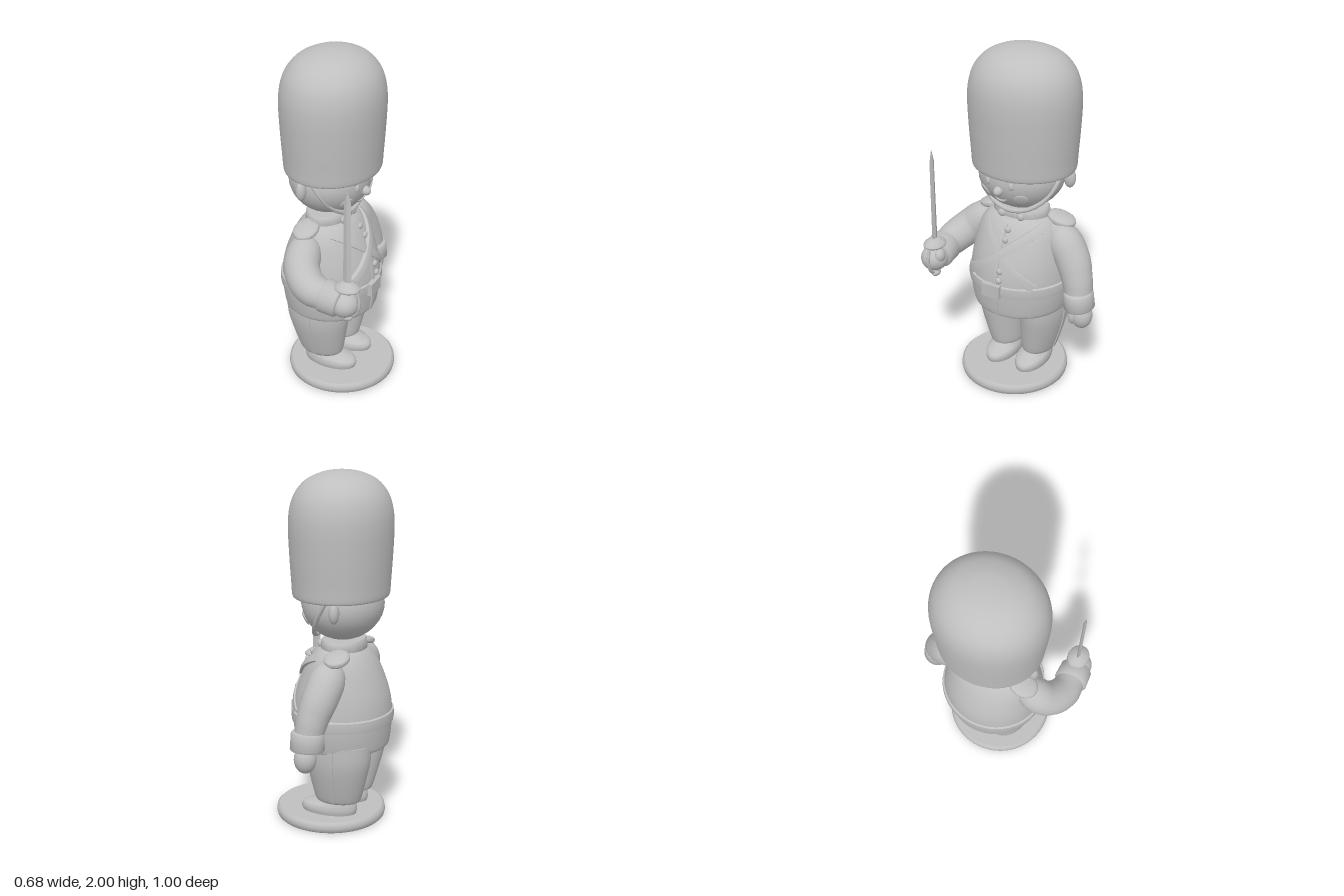
import * as THREE from 'three';
import { toCreasedNormals } from 'three/addons/utils/BufferGeometryUtils.js';

const V = (x, y, z) => new THREE.Vector3(x, y, z);
const spline = (a, b, c, d, t) =>
  0.5 * (2 * b + (c - a) * t + (2 * a - 5 * b + 4 * c - d) * t * t + (3 * b - a - 3 * c + d) * t * t * t);

// Smoothly subdivides rows of numbers.
function smooth(rows, n = 5) {
  const at = (i) => rows[Math.min(Math.max(i, 0), rows.length - 1)], out = [];
  for (let i = 0; i < rows.length - 1; i++)
    for (let k = 0; k < n; k++)
      out.push(rows[i].map((b, c) => spline(at(i - 1)[c], b, at(i + 1)[c], at(i + 2)[c], k / n)));
  return [...out, at(rows.length - 1)];
}

// Stacked ellipses, bottom to top, closed at both ends; row = [y, rx, rz, cx, cz].
function loft(rows, seg = 48, crease = 0.7) {
  const first = rows[0], last = rows[rows.length - 1];
  const closed = [[first[0], 1e-4, 1e-4, first[3], first[4]], ...rows, [last[0], 1e-4, 1e-4, last[3], last[4]]];
  const geo = new THREE.LatheGeometry(closed.map((r) => new THREE.Vector2(r[1], r[0])), seg);
  const p = geo.attributes.position;
  for (let i = 0; i < p.count; i++) {
    const [y, rx, rz, cx = 0, cz = 0] = closed[i % closed.length];
    const a = (Math.floor(i / closed.length) / seg) * Math.PI * 2;
    p.setXYZ(i, cx + rx * Math.sin(a), y, cz + rz * Math.cos(a));
  }
  return toCreasedNormals(geo, crease);
}

// Tube whose radius follows a list.
function limb(points, radii, seg = 30) {
  const curve = new THREE.CatmullRomCurve3(points.map((q) => V(...q)));
  const geo = new THREE.TubeGeometry(curve, seg, 1, 20);
  const r = smooth(radii.map((x) => [x]), 12), p = geo.attributes.position, v = V();
  for (let i = 0; i < p.count; i++) {
    const t = Math.floor(i / 21) / seg, c = curve.getPointAt(t);
    v.fromBufferAttribute(p, i).sub(c).multiplyScalar(r[Math.round(t * (r.length - 1))][0]).add(c);
    p.setXYZ(i, v.x, v.y, v.z);
  }
  return toCreasedNormals(geo, 1);
}

// Raised band between two points of a surface f(u, v, lift).
function ribbon(a, b, width, lift, f, n = 28) {
  const A = new THREE.Vector2(...a), d = new THREE.Vector2(...b).sub(A);
  const s = new THREE.Vector2(-d.y, d.x).normalize().multiplyScalar(width / 2);
  const pos = [], idx = [];
  for (let i = 0; i <= n; i++) {
    const c = A.clone().addScaledVector(d, i / n);
    for (const [side, h] of [[1, -0.02], [0.85, lift], [0, lift * 1.25], [-0.85, lift], [-1, -0.02]])
      pos.push(...f(c.x + s.x * side, c.y + s.y * side, h).toArray());
    if (i < n) for (let k = 0; k < 4; k++) {
      const q = i * 5 + k;
      idx.push(q, q + 1, q + 5, q + 1, q + 6, q + 5);
    }
  }
  const geo = new THREE.BufferGeometry();
  geo.setAttribute('position', new THREE.Float32BufferAttribute(pos, 3));
  geo.setIndex(idx);
  return toCreasedNormals(geo, 0.7);
}

const ball = (rx, ry, rz) => new THREE.SphereGeometry(1, 28, 18).scale(rx, ry, rz);

export function createModel() {
  const grey = new THREE.MeshStandardMaterial({ color: 0xbfbfbf });
  grey.name = 'plain grey';
  const root = new THREE.Group(), body = new THREE.Group();
  root.name = 'toySoldier';
  body.name = 'figure';
  body.rotation.y = Math.PI / 2; // the soldier looks along +x
  root.add(body);
  const add = (name, geo, at = [0, 0, 0], parent = body) => {
    const m = new THREE.Mesh(geo, grey);
    m.name = name;
    m.position.set(...at);
    parent.add(m);
    return m;
  };
  const aim = (m, from, dir) => m.quaternion.setFromUnitVectors(from, dir.normalize());

  // Stand
  add('base', loft([[0, 0.302, 0.302], [0.01, 0.312, 0.312], [0.03, 0.316, 0.316], [0.052, 0.312, 0.312], [0.063, 0.3, 0.3]], 64), [0, 0, 0.018]);

  // Legs, built once and mirrored
  const legRows = smooth([[0.14, 0.085, 0.12, 0.105, -0.07], [0.16, 0.098, 0.135, 0.107, -0.07],
    [0.3, 0.122, 0.168, 0.124, -0.075], [0.4, 0.132, 0.188, 0.133, -0.077], [0.5, 0.134, 0.195, 0.134, -0.077]]);
  const rowAt = (rows, y) => {
    let i = rows.findIndex((r) => r[0] >= y);
    if (i < 0) i = rows.length - 1;
    if (i === 0) return rows[0];
    const t = Math.min(1, (y - rows[i - 1][0]) / (rows[i][0] - rows[i - 1][0]));
    return rows[i].map((v, c) => rows[i - 1][c] + (v - rows[i - 1][c]) * t);
  };
  const legSide = (u, y, lift) => {
    const [, rx, rz, cx, cz] = rowAt(legRows, y);
    return V(cx + rx * Math.sqrt(1 - (u / rz) ** 2) + lift, y, cz - u);
  };
  for (const s of [1, -1]) {
    const leg = new THREE.Group();
    leg.name = s > 0 ? 'leftLeg' : 'rightLeg';
    leg.position.x = 0.015;
    leg.scale.x = s;
    body.add(leg);
    add('trouserLeg', loft(legRows), undefined, leg);
    add('trouserStripe', ribbon([0, 0.155], [0, 0.48], 0.035, 0.005, legSide), undefined, leg);
    add('shoe', loft(smooth([[0.058, 0.084, 0.157, 0.1, -0.013], [0.085, 0.09, 0.165, 0.1, -0.013],
      [0.11, 0.088, 0.158, 0.1, -0.018], [0.13, 0.08, 0.13, 0.1, -0.04], [0.16, 0.07, 0.1, 0.1, -0.065]])), undefined, leg);
  }

  // Jacket
  const cz = -0.055;
  const coat = smooth([[0.455, 0.268, 0.26], [0.475, 0.28, 0.267], [0.56, 0.294, 0.276], [0.65, 0.297, 0.279], [0.75, 0.287, 0.265],
    [0.85, 0.267, 0.232], [0.94, 0.24, 0.19], [1.0, 0.2, 0.147], [1.035, 0.14, 0.1]].map((r) => [...r, 0.005, cz]));
  const chest = (x, y, lift) => {
    const [, rx, rz, cx] = rowAt(coat, y);
    return V(x, y, cz + rz * Math.sqrt(Math.max(0, 1 - ((x - cx) / rx) ** 2)) + lift);
  };
  add('jacket', loft(coat, 64));
  add('jacketPlacket', ribbon([-0.012, 1.0], [-0.012, 0.46], 0.034, 0.006, chest));
  add('collar', loft([[1.0, 0.165, 0.122], [1.01, 0.17, 0.127], [1.06, 0.166, 0.122], [1.07, 0.158, 0.115]]), [0.003, 0, -0.062]);
  add('belt', loft([[0.592, 0.29, 0.27], [0.597, 0.306, 0.286], [0.625, 0.31, 0.29], [0.658, 0.307, 0.287], [0.668, 0.29, 0.27]], 64), [0.005, 0, cz]);
  add('beltBuckle', new THREE.BoxGeometry(0.112, 0.078, 0.03), [-0.025, 0.632, 0.235]);
  add('underStrap', ribbon([-0.17, 0.99], [0.2, 0.665], 0.05, 0.009, chest));
  add('overStrap', ribbon([0.185, 0.99], [-0.23, 0.665], 0.055, 0.018, chest));
  for (const y of [0.975, 0.925, 0.755, 0.7]) add('jacketButton', ball(0.019, 0.019, 0.013), chest(0.016, y, 0.01).toArray());
  for (const x of [-0.06, 0.06]) add('collarButton', ball(0.023, 0.023, 0.015), [x, 1.037, 0.058]);

  // Shoulder boards
  for (const s of [1, -1]) {
    const board = add('epaulette', loft(smooth([[-0.02, 0.075, 0.06], [-0.008, 0.086, 0.07], [0.008, 0.084, 0.068], [0.02, 0.06, 0.048]], 3)),
      [0.015 + s * 0.22, 1.008, -0.1]);
    board.rotation.z = -s * 0.26;
  }

  // Hanging arm
  add('hangingSleeve', limb([[0.15, 0.97, -0.07], [0.24, 0.925, -0.065], [0.33, 0.82, -0.045], [0.385, 0.7, -0.015], [0.41, 0.58, 0.005]],
    [0.03, 0.095, 0.1, 0.088, 0.078]));
  const cuffRows = [[-0.056, 0.07, 0.07], [-0.052, 0.09, 0.09], [-0.044, 0.096, 0.096], [0.044, 0.092, 0.092], [0.052, 0.086, 0.086], [0.056, 0.07, 0.07]];
  const hangingCuff = add('hangingCuff', loft(cuffRows), [0.41, 0.585, 0.005]);
  hangingCuff.scale.x = 0.9;
  hangingCuff.rotation.z = 0.08;
  add('hangingHand', ball(0.06, 0.078, 0.062), [0.434, 0.488, 0.01]);
  add('hangingThumb', ball(0.026, 0.05, 0.028), [0.392, 0.49, 0.045]);

  // Sword arm
  add('swordSleeve', limb([[-0.14, 0.97, -0.085], [-0.23, 0.92, -0.085], [-0.33, 0.835, -0.06], [-0.395, 0.775, 0.03], [-0.405, 0.755, 0.16]],
    [0.03, 0.093, 0.1, 0.095, 0.08]));
  aim(add('swordCuff', loft(cuffRows), [-0.403, 0.755, 0.165]), V(0, 1, 0), V(0.05, -0.18, 1));
  add('swordHand', ball(0.078, 0.075, 0.08), [-0.4, 0.74, 0.24]);
  add('swordThumb', ball(0.03, 0.04, 0.035), [-0.35, 0.775, 0.26]);

  // Sword
  const sword = new THREE.Group();
  sword.name = 'sword';
  sword.position.set(-0.388, 0, 0.25);
  body.add(sword);
  add('blade', loft([[0.84, 0.01, 0.025], [1.35, 0.009, 0.021], [1.42, 0.001, 0.001]], 4, 0.2), undefined, sword);
  add('handGuard', loft(smooth([[0.825, 0.05, 0.06], [0.838, 0.062, 0.074], [0.855, 0.05, 0.06], [0.875, 0.022, 0.03]])), undefined, sword);
  add('grip', new THREE.CylinderGeometry(0.02, 0.02, 0.2, 16), [0, 0.74, 0], sword);
  add('pommel', ball(0.025, 0.022, 0.032), [0, 0.65, 0], sword);
  add('knuckleBow', limb([[0, 0.84, 0.055], [0, 0.75, 0.074], [0, 0.68, 0.05], [0, 0.65, 0]], [0.009, 0.009]), undefined, sword);

  // Head
  const H = { c: V(0.004, 1.27, -0.057), r: V(0.25, 0.207, 0.228) };
  add('head', ball(H.r.x, H.r.y, H.r.z), H.c.toArray());
  const face = (x, y, lift = 0) => {
    const u = (x - H.c.x) / H.r.x, v = (y - H.c.y) / H.r.y;
    return V(x, y, H.c.z + H.r.z * Math.sqrt(1 - u * u - v * v) + lift);
  };
  const onFace = (name, x, y, geo) => {
    const p = face(x, y);
    aim(add(name, geo, p.toArray()), V(0, 0, 1), p.clone().sub(H.c).divide(H.r).divide(H.r));
  };
  const faceLine = (name, pts, r) => add(name, limb(pts.map(([x, y]) => face(x, y, 0.002).toArray()), [r * 0.4, r, r, r * 0.4]));
  onFace('nose', -0.015, 1.228, ball(0.027, 0.027, 0.034));
  for (const s of [1, -1]) {
    const x = -0.013 + s * 0.075;
    onFace('eye', x, 1.268, ball(0.016, 0.022, 0.009));
    onFace('cheek', -0.012 + s * 0.117, 1.185, ball(0.041, 0.041, 0.009));
    faceLine('eyebrow', [[x - 0.027, 1.297], [x, 1.304], [x + 0.027, 1.297]], 0.007);
    add('ear', ball(0.035, 0.06, 0.028), [0.015 + s * 0.265, 1.27, -0.1]);
  }
  faceLine('mouth', [[-0.053, 1.172], [-0.015, 1.158], [0.024, 1.172]], 0.007);
  const strap = [];
  for (let i = 0; i <= 16; i++) {
    const a = (i / 16 - 0.5) * Math.PI;
    strap.push([0.01 + 0.25 * Math.sin(a), 1.335 - 0.253 * Math.cos(a), -0.05 + 0.135 * Math.cos(a)]);
  }
  add('chinStrap', limb(strap, [0.013, 0.013], 48));

  // Tall fur hat
  add('hat', loft(smooth([[1.318, 0.283, 0.25], [1.325, 0.297, 0.265], [1.4, 0.302, 0.271], [1.55, 0.312, 0.28], [1.7, 0.317, 0.285],
    [1.8, 0.306, 0.276], [1.88, 0.275, 0.247], [1.945, 0.213, 0.19], [1.983, 0.125, 0.11], [1.996, 0.05, 0.045], [1.999, 0.002, 0.002]]), 64), [0.023, 0, -0.051]);

  return root;
}
